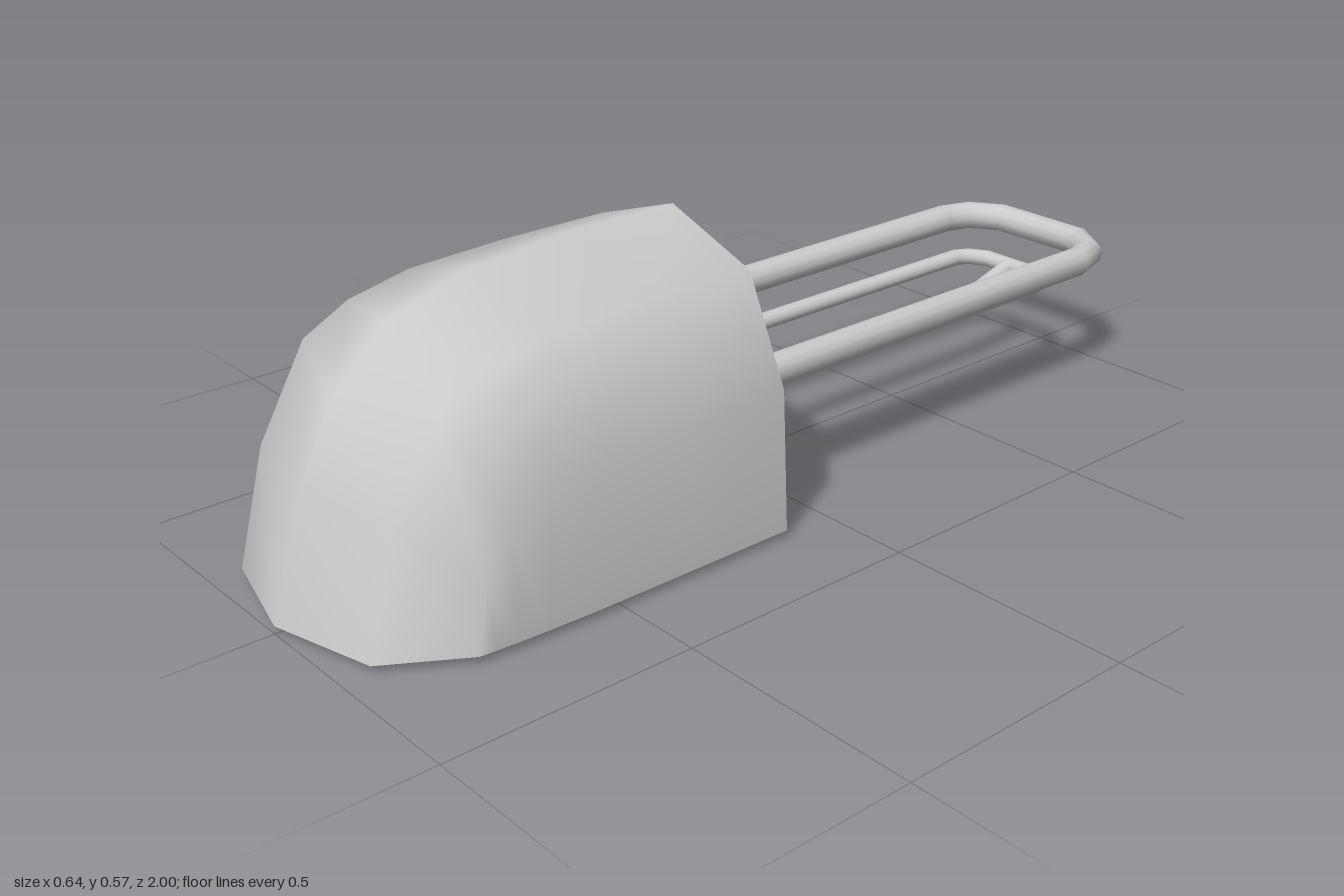
import * as THREE from 'three';

const BACK = 0.115, RIDGE = 0.573, WALL = 0.03;

// long lines of the hood from back to front, as x, y, z
const SIDE = [[0.322, 0.015, BACK], [0.322, 0.015, 0.3], [0.322, 0.015, 0.45], [0.321, 0.015, 0.57],
  [0.318, 0.015, 0.66], [0.315, 0.015, 0.72], [0.312, 0.015, 0.765]];
const onLine = (x, points) => points.map(([z, y]) => [x, y, z]);
const LOW = onLine(0.309, [[BACK, 0.295], [0.33, 0.295], [0.52, 0.293], [0.64, 0.28], [0.725, 0.24], [0.775, 0.14], [0.795, 0.015]]);
const SHOULDER = onLine(0.215, [[BACK, 0.5], [0.35, 0.5], [0.56, 0.492], [0.69, 0.465], [0.785, 0.415], [0.885, 0.24], [0.945, 0.015]]);
const CENTRE = onLine(0, [[BACK, RIDGE], [0.35, RIDGE], [0.58, 0.555], [0.74, 0.505], [0.855, 0.4], [0.93, 0.24], [1, 0.015]]);

const mirror = (line) => line.map(([x, y, z]) => [-x, y, z]);
const LINES = [SIDE, LOW, SHOULDER, CENTRE, mirror(SHOULDER), mirror(LOW), mirror(SIDE)];

// lining point: slightly smaller, sinking towards the ridge and the nose
function inset([x, y, z]) {
  const along = (z - BACK) / (1 - BACK);
  return [x * 0.96, y - 0.015 * Math.max(along, y / RIDGE), BACK + (z - BACK) * 0.955];
}

// smooth surface through neighbouring lines of equal length
function loft(lines, flip = false) {
  const n = lines[0].length, index = [];
  for (let c = 0; c < lines.length - 1; c++)
    for (let r = 0; r < n - 1; r++) {
      const a = c * n + r, b = a + n;
      index.push(a, b, a + 1, a + 1, b, b + 1);
    }
  const g = new THREE.BufferGeometry();
  g.setAttribute('position', new THREE.Float32BufferAttribute(lines.flat(2), 3));
  g.setIndex(flip ? index.reverse() : index);
  g.computeVertexNormals();
  return g;
}

// back wall with an oval opening near the top
function backWall() {
  const shape = new THREE.Shape(LINES.map(([[x, y]]) => new THREE.Vector2(x * 0.997, y - 0.001)));
  const hole = [];
  for (let i = 0; i < 10; i++) {
    const a = ((i + 0.5) / 10) * Math.PI * 2;
    hole.push(new THREE.Vector2(0.147 * Math.cos(a) - 0.005, 0.433 + 0.093 * Math.sin(a)));
  }
  shape.holes.push(new THREE.Path(hole));
  return new THREE.ExtrudeGeometry(shape, { depth: WALL, bevelEnabled: false }).translate(0, 0, BACK);
}

// polyline with one tube ring at each corner
class BentWire extends THREE.Curve {
  constructor(points) {
    super();
    this.points = points.map((p) => new THREE.Vector3(...p));
  }
  getPointAt(u) {
    return this.points[Math.round(u * (this.points.length - 1))].clone();
  }
  getTangentAt(u) {
    const p = this.points, i = Math.round(u * (p.length - 1)), t = new THREE.Vector3();
    if (i > 0) t.add(p[i].clone().sub(p[i - 1]).normalize());
    if (i < p.length - 1) t.add(p[i + 1].clone().sub(p[i]).normalize());
    return t.normalize();
  }
}

const wire = (points, radius) => new THREE.TubeGeometry(new BentWire(points), points.length - 1, radius, 12);

// loop wire: right half given as x, z and mirrored
function loopWire(half, y, radius) {
  const right = half.map(([x, z]) => [x, y, z]);
  return wire([...right, ...mirror(right).reverse()], radius);
}

export function createModel() {
  const group = new THREE.Group();
  const material = new THREE.MeshStandardMaterial({ color: 0xcccccc, side: THREE.DoubleSide });
  const add = (name, geometry) => {
    const mesh = new THREE.Mesh(geometry, material);
    mesh.name = name;
    group.add(mesh);
  };

  // hollow hood, open underneath
  const front = LINES.slice(1, -1).map((line) => line[line.length - 1]);
  const rim = [...SIDE, ...front, ...mirror(SIDE).reverse()];
  add('hood', loft(LINES));
  add('hoodLining', loft(LINES.map((line) => line.map(inset)), true));
  add('hoodRim', loft([rim, rim.map(inset)], true));
  add('backWall', backWall());

  // wire handle: two nested loops and a central rod bent up to the inner loop
  const start = BACK + 0.02;
  add('outerLoop', loopWire([[0.194, start], [0.194, -0.86], [0.174, -0.925], [0.11, -0.969]], 0.275, 0.031));
  add('innerLoop', loopWire([[0.118, start], [0.118, -0.82], [0.104, -0.85], [0.065, -0.872]], 0.21, 0.018));
  add('centreRod', wire([[0, 0.165, start], [0, 0.165, -0.725], [0, 0.21, -0.87]], 0.018));
  return group;
}
